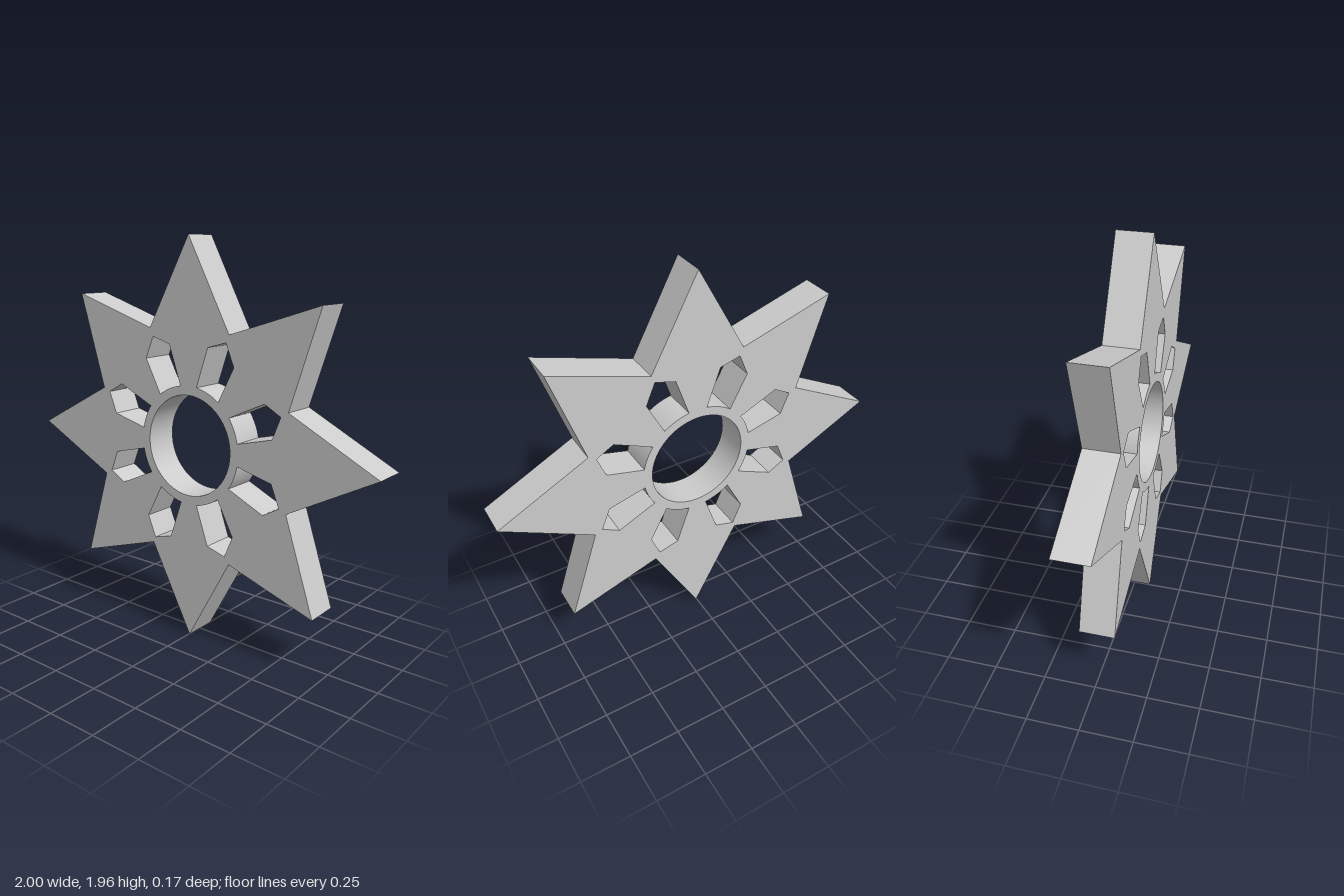
import * as THREE from 'three';
import { toCreasedNormals } from 'three/addons/utils/BufferGeometryUtils.js';

const CENTRE_Y = 0.977;
const DEPTH = 0.17;

// Alternating tips and valleys, counter-clockwise from the right tip
const OUTLINE = [
  [1, 0.985], [0.555, 1.209], [0.706, 1.672], [0.235, 1.522],
  [0.003, 1.957], [-0.236, 1.526], [-0.7, 1.67], [-0.556, 1.202],
  [-1, 0.969], [-0.556, 0.747], [-0.698, 0.289], [-0.231, 0.44],
  [0.003, 0], [0.243, 0.435], [0.706, 0.287], [0.555, 0.751],
];

// Outer corners of the two window types in one quadrant, relative to the centre,
// and the angles where the window meets the hub ring
const WINDOWS = [
  { corners: [[0.115, 0.479], [0.218, 0.508], [0.263, 0.4]], from: 0.925, to: 1.405 },
  { corners: [[0.474, 0.101], [0.517, 0.208], [0.431, 0.256]], from: 0.615, to: 0.185 },
];
const RING_RADIUS = 0.291;
const ARC_STEPS = 8;

function windowPath({ corners, from, to }, sx, sy) {
  const points = corners.map(([x, y]) => [x, y]);
  for (let i = 0; i <= ARC_STEPS; i++) {
    const a = from + (to - from) * i / ARC_STEPS;
    points.push([RING_RADIUS * Math.cos(a), RING_RADIUS * Math.sin(a)]);
  }
  return new THREE.Path(points.map(([x, y]) => new THREE.Vector2(sx * x, CENTRE_Y + sy * y)));
}

export function createModel() {
  const group = new THREE.Group();
  group.name = 'pointedStar';

  // Eight-pointed plate
  const plate = new THREE.Shape(OUTLINE.map(([x, y]) => new THREE.Vector2(x, y)));

  // Central bore
  plate.holes.push(new THREE.Path().absarc(0, CENTRE_Y, 0.246, 0, Math.PI * 2, true));

  // Eight windows around the hub, mirrored into each quadrant
  for (const sx of [1, -1]) {
    for (const sy of [1, -1]) {
      for (const w of WINDOWS) plate.holes.push(windowPath(w, sx, sy));
    }
  }

  const geometry = new THREE.ExtrudeGeometry(plate, {
    depth: DEPTH, bevelEnabled: false, curveSegments: 32,
  });
  geometry.translate(0, 0, -DEPTH / 2);

  const mesh = new THREE.Mesh(
    toCreasedNormals(geometry, 0.5),
    new THREE.MeshStandardMaterial({ color: 0xcccccc }),
  );
  mesh.name = 'starPlate';
  group.add(mesh);
  return group;
}
